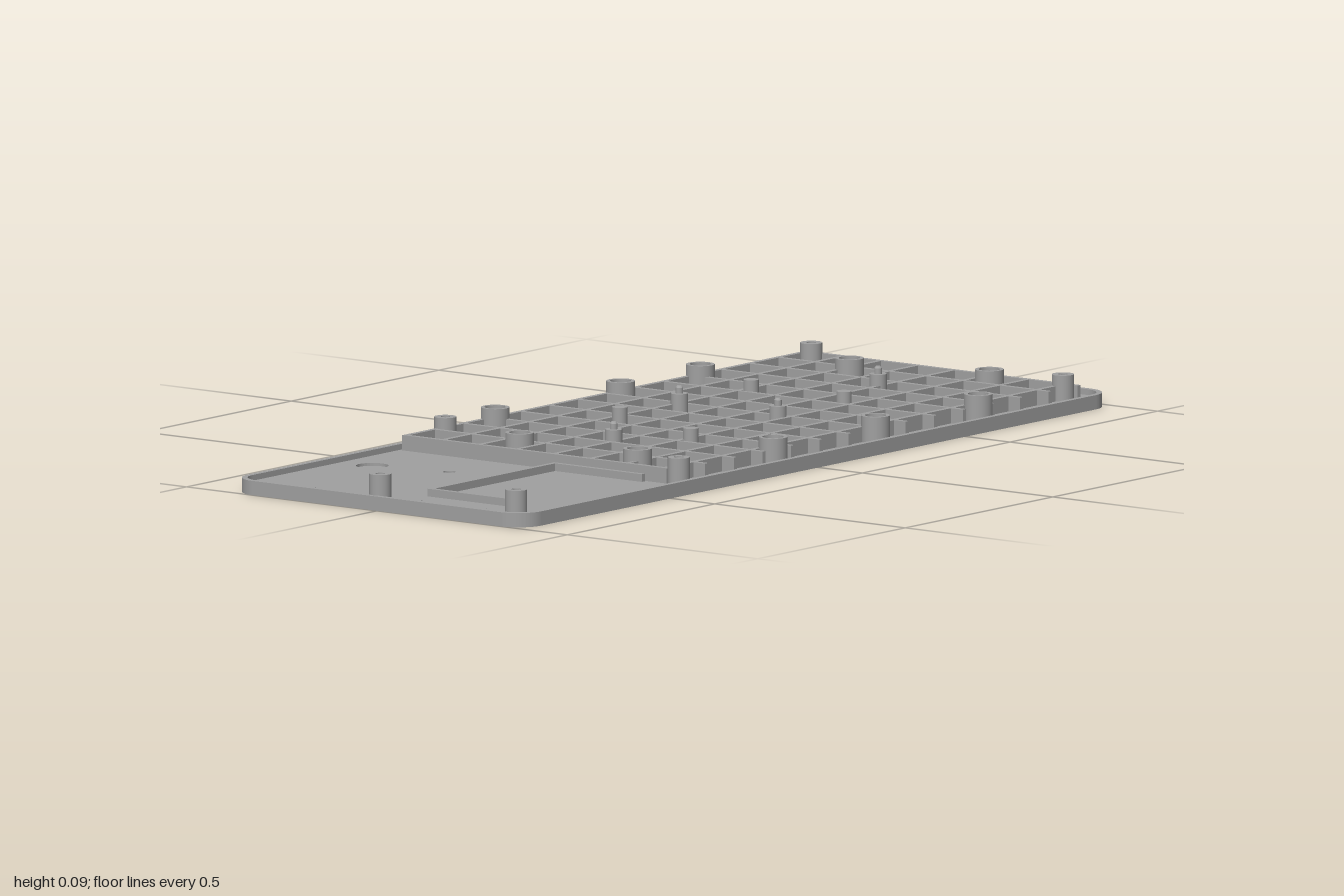
import * as THREE from 'three';

const FLOOR = 0.018, RIM = 0.03, RIB_TOP = 0.05, POST_TOP = 0.073;
const RIB = 0.011, HOLE = 0.01;

// [x, z] positions
const screwPosts = [[-0.31, -0.355], [0.904, -0.335], [0.904, 0.326], [-0.422, 0.345], [-0.954, 0.33], [-0.968, -0.016]];
const bosses = [[-0.15, -0.348], [0.275, -0.348], [0.545, -0.348], [-0.374, -0.11], [0.797, -0.152],
  [-0.385, 0.208], [0.861, 0.166], [-0.096, 0.34], [0.251, 0.34], [0.599, 0.34]];
const pinPosts = [[0.225, -0.155], [-0.222, 0.019], [0.674, 0.019], [0.225, 0.104]];
const plainPosts = [[0.01, -0.145], [0.455, -0.145], [-0.112, 0.136], [0.455, 0.099]];
const footRecesses = [[-0.88, -0.33], [-0.85, 0.32]];

export function createModel() {
  const model = new THREE.Group();
  model.name = 'casePlate';
  const grey = new THREE.MeshStandardMaterial({ color: 0xa0a0a0 });
  grey.name = 'grey plastic';

  const add = (name, geometry, x = 0, y = 0, z = 0) => {
    const mesh = new THREE.Mesh(geometry, grey);
    mesh.name = name;
    mesh.position.set(x, y, z);
    model.add(mesh);
    return mesh;
  };
  const box = (name, x0, x1, y0, y1, z0, z1) =>
    add(name, new THREE.BoxGeometry(x1 - x0, y1 - y0, z1 - z0), (x0 + x1) / 2, (y0 + y1) / 2, (z0 + z1) / 2);

  // Rounded rectangle in plan, drawn with y = -z
  const outline = (hx, hz, r, ShapeType = THREE.Shape) => {
    const s = new ShapeType();
    s.moveTo(-hx + r, -hz);
    s.lineTo(hx - r, -hz);
    s.absarc(hx - r, -hz + r, r, -Math.PI / 2, 0, false);
    s.lineTo(hx, hz - r);
    s.absarc(hx - r, hz - r, r, 0, Math.PI / 2, false);
    s.lineTo(-hx + r, hz);
    s.absarc(-hx + r, hz - r, r, Math.PI / 2, Math.PI, false);
    s.lineTo(-hx, -hz + r);
    s.absarc(-hx + r, -hz + r, r, Math.PI, Math.PI * 1.5, false);
    return s;
  };
  const circle = ([x, z], r) => new THREE.Path().absarc(x, -z, r, 0, Math.PI * 2, true);
  const slab = (name, y0, y1, holes) => {
    const shape = outline(1, 0.385, 0.06);
    shape.holes.push(...holes);
    const g = new THREE.ExtrudeGeometry(shape, { depth: y1 - y0, bevelEnabled: false, curveSegments: 16 });
    add(name, g.rotateX(-Math.PI / 2), 0, y0, 0);
  };

  // Base in layers: underside recesses, core, top recess, raised rim
  const through = () => [...screwPosts.map(p => circle(p, HOLE)), circle([-0.6, -0.12], 0.013)];
  const under = [...pinPosts, ...plainPosts, ...footRecesses].map(p => circle(p, 0.026));
  slab('baseUnderside', 0, 0.006, [...through(), ...under]);
  slab('baseCore', 0.006, 0.012, through());
  slab('baseFloor', 0.012, FLOOR, [...through(), circle([-0.635, -0.295], 0.034)]);
  slab('rim', FLOOR, RIM, [outline(0.988, 0.373, 0.048, THREE.Path)]);

  // Small catches along the inside of the left rim
  for (const z of [-0.2, 0.08, 0.25]) box('rimCatch', -0.99, -0.981, FLOOR, RIM, z - 0.025, z + 0.025);

  // Ribs, interrupted where they would cross a screw hole
  const rib = (alongX, fixed, from, to) => {
    const a = alongX ? 0 : 1;
    const cuts = screwPosts.filter(p => Math.abs(p[1 - a] - fixed) < HOLE + RIB / 2)
      .map(p => p[a]).sort((m, n) => m - n);
    let start = from;
    for (const end of [...cuts, Infinity]) {
      const stop = Math.min(end - 0.016, to);
      if (stop > start) {
        const h = RIB / 2;
        if (alongX) box('crossRib', start, stop, FLOOR, RIB_TOP, fixed - h, fixed + h);
        else box('lengthRib', fixed - h, fixed + h, FLOOR, RIB_TOP, start, stop);
      }
      start = Math.max(start, end + 0.016);
    }
  };
  const X0 = -0.437, X1 = 0.92, Z0 = -0.36, STEP = 0.097;
  for (let i = 0; i < 15; i++) rib(false, X0 + i * STEP, Z0, 0.355);
  for (let j = 0; j < 8; j++) rib(true, Z0 + j * STEP, X0 - RIB / 2, X1 + RIB / 2);

  // Low wall around the open bay
  box('bayWallBack', -0.875, -0.446, FLOOR, 0.034, 0.036, 0.047);
  box('bayWallLeft', -0.875, -0.864, FLOOR, 0.034, 0.047, 0.275);
  box('bayWallRight', -0.457, -0.446, FLOOR, 0.034, 0.047, 0.275);

  // Turned posts: profile points are listed from the lower outside upward
  const lathe = (points) => {
    const verts = [];
    for (let i = 0; i < points.length - 1; i++) {
      const seg = [points[i], points[i + 1]].map(p => new THREE.Vector2(p[0], p[1]));
      verts.push(new THREE.LatheGeometry(seg, 28));
    }
    return verts;
  };
  const post = (name, [x, z], points) => {
    for (const g of lathe(points)) add(name, g, x, 0, z);
  };
  for (const p of screwPosts) {
    post('screwPost', p, [[0.023, FLOOR], [0.023, POST_TOP], [HOLE, POST_TOP], [HOLE, 0.012]]);
  }
  for (const p of bosses) {
    post('boss', p, [[0.03, FLOOR], [0.03, POST_TOP], [0.022, POST_TOP], [0.022, 0.052], [0, 0.052]]);
  }
  for (const p of plainPosts) {
    post('supportPost', p, [[0.016, FLOOR], [0.016, POST_TOP], [0, POST_TOP]]);
  }
  for (const p of pinPosts) {
    post('pinPost', p, [[0.018, FLOOR], [0.018, POST_TOP], [0.008, POST_TOP], [0.008, 0.085], [0.005, 0.089], [0, 0.089]]);
  }
  return model;
}
